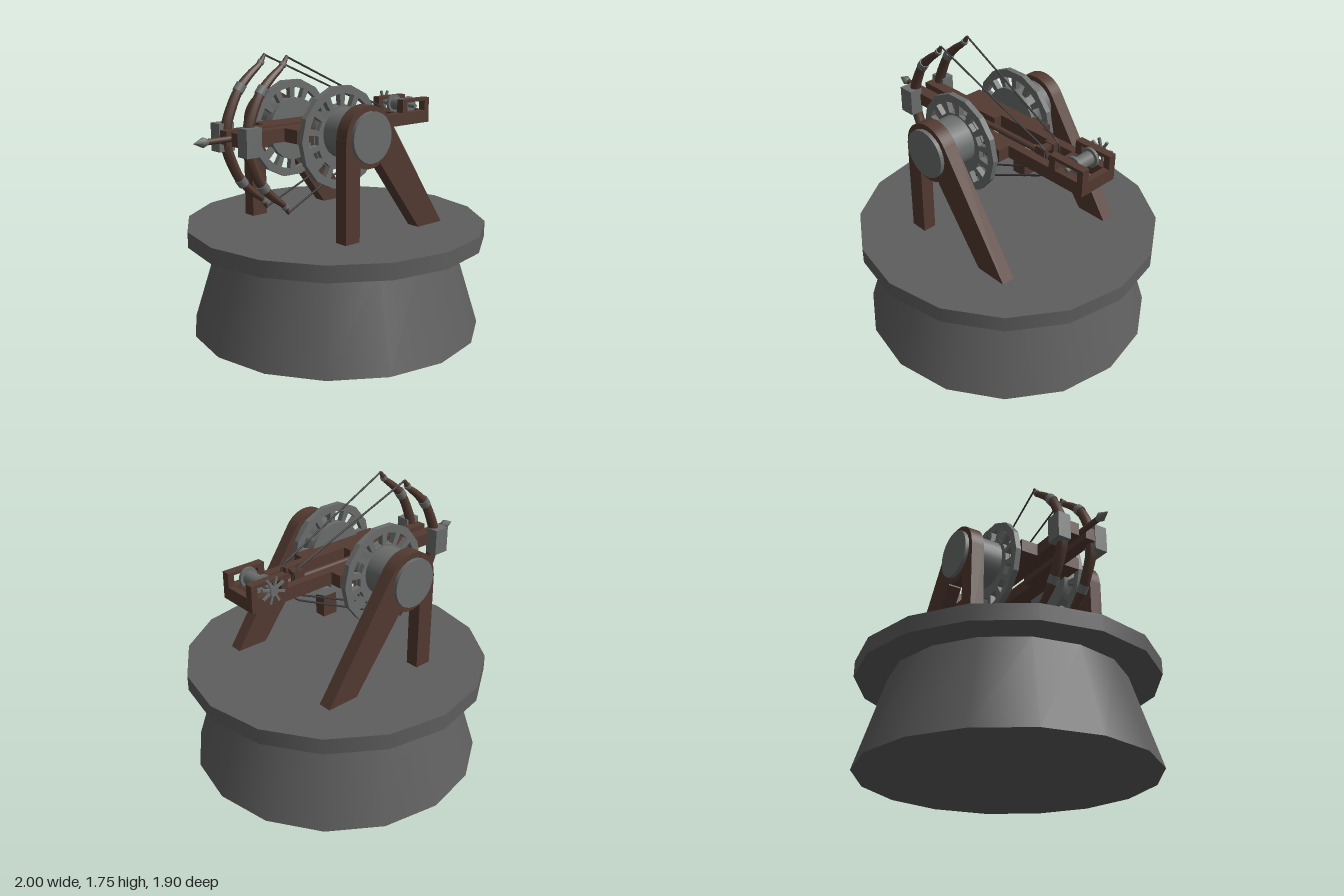
import * as THREE from 'three';

const mat = (name, color, side = THREE.FrontSide) => {
  const m = new THREE.MeshStandardMaterial({ color, side });
  m.name = name;
  return m;
};

export function createModel() {
  const model = new THREE.Group();
  model.name = 'mountedBallista';
  const stone = mat('stone', 0x5e5e5e);
  const metal = mat('metal', 0x6b6d6d);
  const wood = mat('wood', 0x523a31);
  const cord = mat('cord', 0x3a3a3a);

  const add = (name, geo, material, x = 0, y = 0, z = 0) => {
    const mesh = new THREE.Mesh(geo, material);
    mesh.name = name;
    mesh.position.set(x, y, z);
    model.add(mesh);
    return mesh;
  };
  // Box given by its extents
  const box = (name, m, x0, x1, y0, y1, z0, z1) =>
    add(name, new THREE.BoxGeometry(x1 - x0, y1 - y0, z1 - z0), m,
      (x0 + x1) / 2, (y0 + y1) / 2, (z0 + z1) / 2);
  // Cylinder along z, between two depths
  const drum = (name, m, r, x, y, z0, z1, sides = 24) =>
    add(name, new THREE.CylinderGeometry(r, r, Math.abs(z1 - z0), sides).rotateX(Math.PI / 2), m,
      x, y, (z0 + z1) / 2);
  const extrude = (shape, depth) =>
    new THREE.ExtrudeGeometry(shape, { depth, bevelEnabled: false, curveSegments: 16 });
  // Tube whose radius follows a rule along its length
  const taperedTube = (curve, segments, sides, radiusAt) => {
    const geo = new THREE.TubeGeometry(curve, segments, 1, sides);
    const p = geo.attributes.position, v = new THREE.Vector3();
    for (let i = 0; i < p.count; i++) {
      const u = geo.attributes.uv.getX(i), c = curve.getPointAt(u);
      v.fromBufferAttribute(p, i).sub(c).multiplyScalar(radiusAt(u)).add(c);
      p.setXYZ(i, v.x, v.y, v.z);
    }
    geo.computeVertexNormals();
    return geo;
  };

  // Stone pedestal and platform
  add('pedestal', new THREE.CylinderGeometry(0.745, 0.925, 0.58, 16), stone, 0.045, 0.29, 0);
  add('platform', new THREE.CylinderGeometry(0.95, 0.95, 0.1, 16), stone, 0.045, 0.63, 0);

  // A-shaped support outline with a round head
  const hubX = -0.125, hubY = 1.29;
  const support = new THREE.Shape();
  support.moveTo(-0.31, 0.68);
  support.lineTo(-0.31, hubY);
  support.absarc(hubX, hubY, 0.182, Math.PI, 0.6, true);
  support.lineTo(0.51, 0.68);
  support.lineTo(0.3, 0.68);
  support.lineTo(-0.035, 1.12);
  support.absarc(hubX, hubY, 0.185, -1.06, -1.99, true);
  support.lineTo(-0.2, 0.68);
  support.closePath();

  // Fourteen-sided wheel with a ring of windows
  const polar = (r, a) => new THREE.Vector2(r * Math.cos(a), r * Math.sin(a));
  const wheel = new THREE.Shape();
  const sides = 14, step = (Math.PI * 2) / sides;
  wheel.setFromPoints(Array.from({ length: sides }, (_, i) => polar(0.31, i * step)));
  for (let i = 0; i < sides; i++) {
    const a = i * step, w = step * 0.32;
    wheel.holes.push(new THREE.Path([
      polar(0.19, a - w), polar(0.19, a + w), polar(0.26, a + w), polar(0.26, a - w)]));
  }

  for (const s of [1, -1]) {
    const lo = (a, b) => Math.min(s * a, s * b), hi = (a, b) => Math.max(s * a, s * b);
    const sideBox = (name, m, x0, x1, y0, y1, a, b) =>
      box(name, m, x0, x1, y0, y1, lo(a, b), hi(a, b));

    // Support, axle and wheel
    add('support', extrude(support, 0.085), wood, 0, 0, lo(0.4, 0.485));
    drum('axle', metal, 0.15, hubX, hubY, s * 0.25, s * 0.51);
    add('wheel', extrude(wheel, 0.036), metal, hubX, 1.26, lo(0.215, 0.251));
    drum('wheelHub', metal, 0.195, hubX, 1.26, s * 0.19, s * 0.22);

    // Stock rails
    sideBox('arrowRail', wood, -0.76, -0.1, 1.25, 1.33, 0.025, 0.1);
    sideBox('stockShoulder', wood, -0.44, 0.19, 1.25, 1.33, 0.08, 0.213);
    sideBox('rearRail', wood, 0.19, 0.76, 1.25, 1.33, 0.08, 0.135);

    // Winch frame on top of the rear rail
    sideBox('winchPost', wood, 0.51, 0.555, 1.33, 1.415, 0.085, 0.135);
    sideBox('winchPost', wood, 0.72, 0.76, 1.33, 1.415, 0.085, 0.135);
    sideBox('winchBeam', wood, 0.555, 0.72, 1.395, 1.415, 0.085, 0.135);
    drum('winchFlange', metal, 0.06, 0.635, 1.365, s * 0.058, s * 0.076, 16);

    // Bow with clamp and bands
    const z = s * 0.105, midY = 1.28;
    sideBox('bowClamp', metal, -0.765, -0.66, 1.2, 1.365, 0.09, 0.175);
    const half = [[-0.42, 0.465], [-0.455, 0.41], [-0.53, 0.35], [-0.61, 0.27], [-0.67, 0.16], [-0.705, 0.06]];
    const pts = [...half.map(([x, y]) => new THREE.Vector3(x, midY + y, z)),
      ...half.slice().reverse().map(([x, y]) => new THREE.Vector3(x, midY - y, z))];
    const bow = new THREE.CatmullRomCurve3(pts);
    const thickness = (u) => 0.008 + 0.026 * Math.pow(Math.sin(Math.PI * u), 0.6);
    add('bow', taperedTube(bow, 40, 10, thickness), wood);
    for (const u of [0.05, 0.235, 0.765, 0.95]) {
      const band = add('bowBand', new THREE.CylinderGeometry(
        thickness(u) + 0.005, thickness(u) + 0.005, u > 0.1 && u < 0.9 ? 0.05 : 0.02, 10), metal);
      band.position.copy(bow.getPointAt(u));
      band.quaternion.setFromUnitVectors(new THREE.Vector3(0, 1, 0), bow.getTangentAt(u));
    }

    // Bowstring from tip to latch to tip
    const path = [[-0.425, 0.46, 0.105], [0.37, 0.105, 0.058], [0.405, 0.08, 0.056], [0.415, 0.05, 0.055]];
    const all = [...path, ...path.slice().reverse().map(([x, y, d]) => [x, -y, d])]
      .map(([x, y, d]) => new THREE.Vector3(x, midY + y, s * d));
    const string = new THREE.CurvePath();
    for (let i = 0; i < all.length - 1; i++) string.add(new THREE.LineCurve3(all[i], all[i + 1]));
    string.curves.forEach((c) => add('bowstring', new THREE.TubeGeometry(c, 1, 0.006, 6), cord));
  }

  // Cross pieces of the stock and the string latch
  box('frontCrossBar', wood, 0.49, 0.53, 1.25, 1.33, -0.08, 0.08);
  box('rearCrossBar', wood, 0.72, 0.76, 1.25, 1.33, -0.08, 0.08);
  for (const s of [1, -1]) box('latchCheek', wood, 0.33, 0.4, 1.21, 1.36, s * 0.04 - 0.018, s * 0.04 + 0.018);
  box('latchTop', wood, 0.345, 0.385, 1.325, 1.355, -0.03, 0.03);

  // Winch drum, shaft and spoked handle
  drum('winchDrum', metal, 0.042, 0.635, 1.365, -0.06, 0.06, 16);
  drum('winchShaft', metal, 0.014, 0.635, 1.365, -0.18, 0.13, 10);
  drum('handleHub', metal, 0.028, 0.635, 1.365, -0.18, -0.15, 12);
  for (let i = 0; i < 4; i++) {
    const spoke = box('handleSpoke', metal, 0.555, 0.715, 1.358, 1.372, -0.172, -0.158);
    spoke.rotation.z = (i * Math.PI) / 4 + 0.3;
  }

  // Arrow
  const arrowY = 1.29;
  add('arrowShaft', new THREE.CylinderGeometry(0.018, 0.018, 1.39, 10).rotateZ(Math.PI / 2), wood, -0.225, arrowY, 0);
  add('arrowHead', new THREE.LatheGeometry([[0, -0.1], [0.016, -0.1], [0.03, -0.065], [0, 0]].reverse()
    .map(([r, y]) => new THREE.Vector2(r, y)).reverse(), 8).rotateZ(Math.PI / 2), metal, -1, arrowY, 0);

  return model;
}
